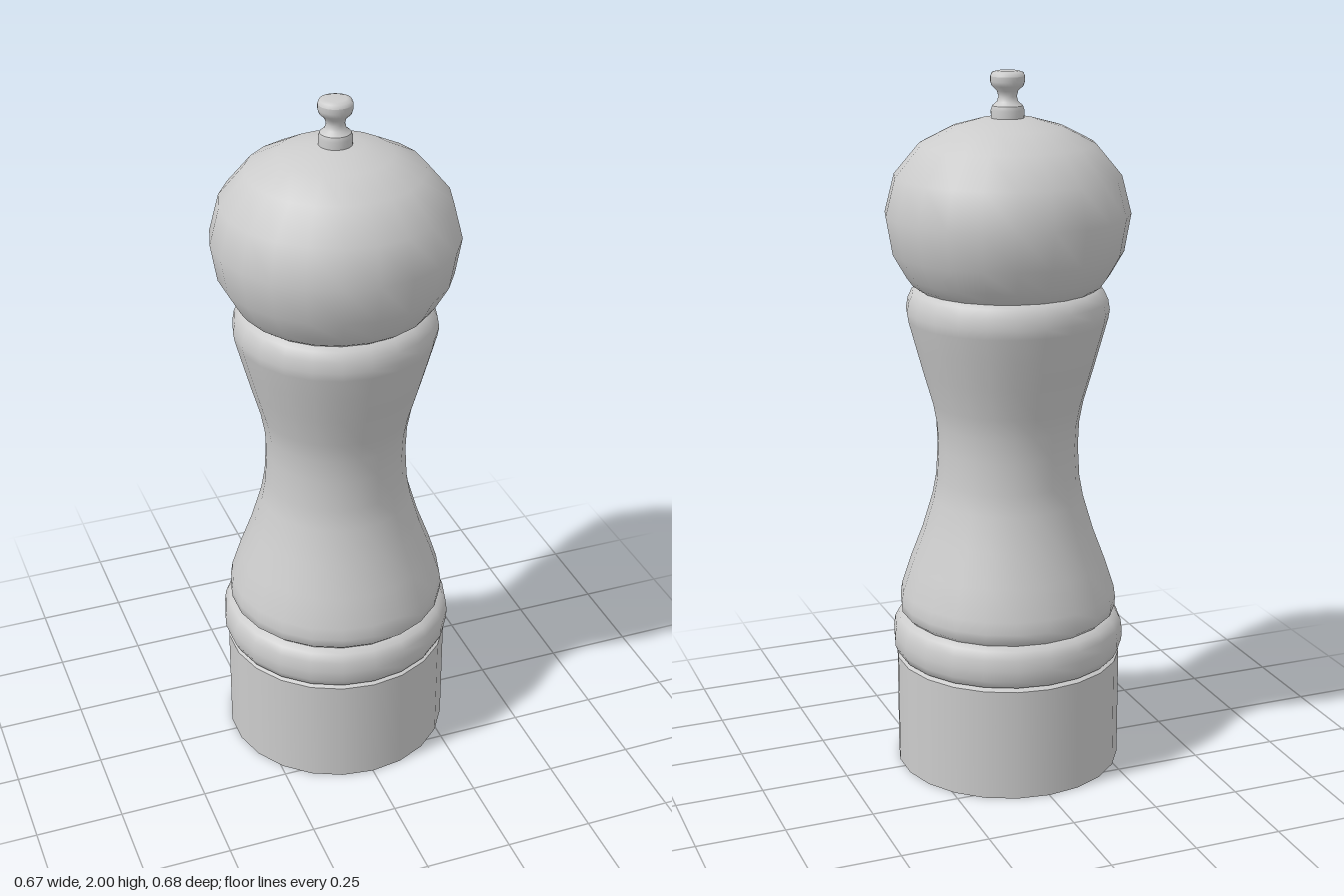
import * as THREE from 'three';

const SIDES = 22;

export function createModel() {
  const group = new THREE.Group();
  const material = new THREE.MeshStandardMaterial({ color: 0xcccccc, side: THREE.DoubleSide });

  // Turned part from [radius, height] points, listed bottom to top
  const turn = (name, points, sides = SIDES) => {
    const geometry = new THREE.LatheGeometry(points.map(([r, y]) => new THREE.Vector2(r, y)), sides);
    const mesh = new THREE.Mesh(geometry, material);
    mesh.name = name;
    group.add(mesh);
    return mesh;
  };
  // Separate strips between the points keep every edge sharp
  const turnSharp = (name, points, sides) => {
    for (let i = 0; i < points.length - 1; i++) turn(name, [points[i], points[i + 1]], sides);
  };

  // Base: stepped recess underneath, bottom rim and straight wall
  turnSharp('base', [
    [0, 0.18], [0.175, 0.18], [0.175, 0.06], [0.195, 0.06], [0.195, 0.09],
    [0.255, 0.09], [0.255, 0], [0.325, 0], [0.325, 0.325], [0.305, 0.335],
  ]);

  // Bead above the base
  turn('bead', [
    [0.305, 0.332], [0.322, 0.337], [0.333, 0.36], [0.334, 0.39],
    [0.33, 0.42], [0.318, 0.443], [0.297, 0.452],
  ]);

  // Waisted body
  turn('body', [
    [0.297, 0.452], [0.311, 0.465], [0.313, 0.49], [0.308, 0.525], [0.28, 0.61],
    [0.246, 0.7], [0.216, 0.8], [0.205, 0.86], [0.2, 0.95], [0.203, 1.02],
    [0.214, 1.08], [0.24, 1.17], [0.262, 1.25], [0.281, 1.32], [0.285, 1.345],
    [0.28, 1.375], [0.268, 1.4], [0.25, 1.41],
  ]);
  turn('bodyTop', [[0.25, 1.41], [0, 1.41]]);

  // Rounded head
  turn('head', [
    [0.25, 1.408], [0.267, 1.42], [0.285, 1.445], [0.322, 1.51], [0.34, 1.615],
    [0.313, 1.72], [0.242, 1.805], [0.155, 1.85], [0.075, 1.872], [0, 1.877],
  ]);

  // Finial nut
  turn('finial', [[0.045, 1.865], [0.046, 1.895], [0.042, 1.907]], 32);
  turn('finial', [
    [0.042, 1.907], [0.029, 1.918], [0.025, 1.932], [0.029, 1.947],
    [0.043, 1.96], [0.047, 1.972], [0.047, 1.986],
  ], 32);
  turn('finial', [[0.047, 1.986], [0.043, 1.996], [0.03, 2], [0, 2]], 32);

  // Grinder crossbar inside the ring below
  const bar = new THREE.Mesh(new THREE.BoxGeometry(0.35, 0.05, 0.1), material);
  bar.name = 'grinderBar';
  bar.position.y = 0.09;
  bar.rotation.y = 0.42;
  group.add(bar);

  return group;
}
